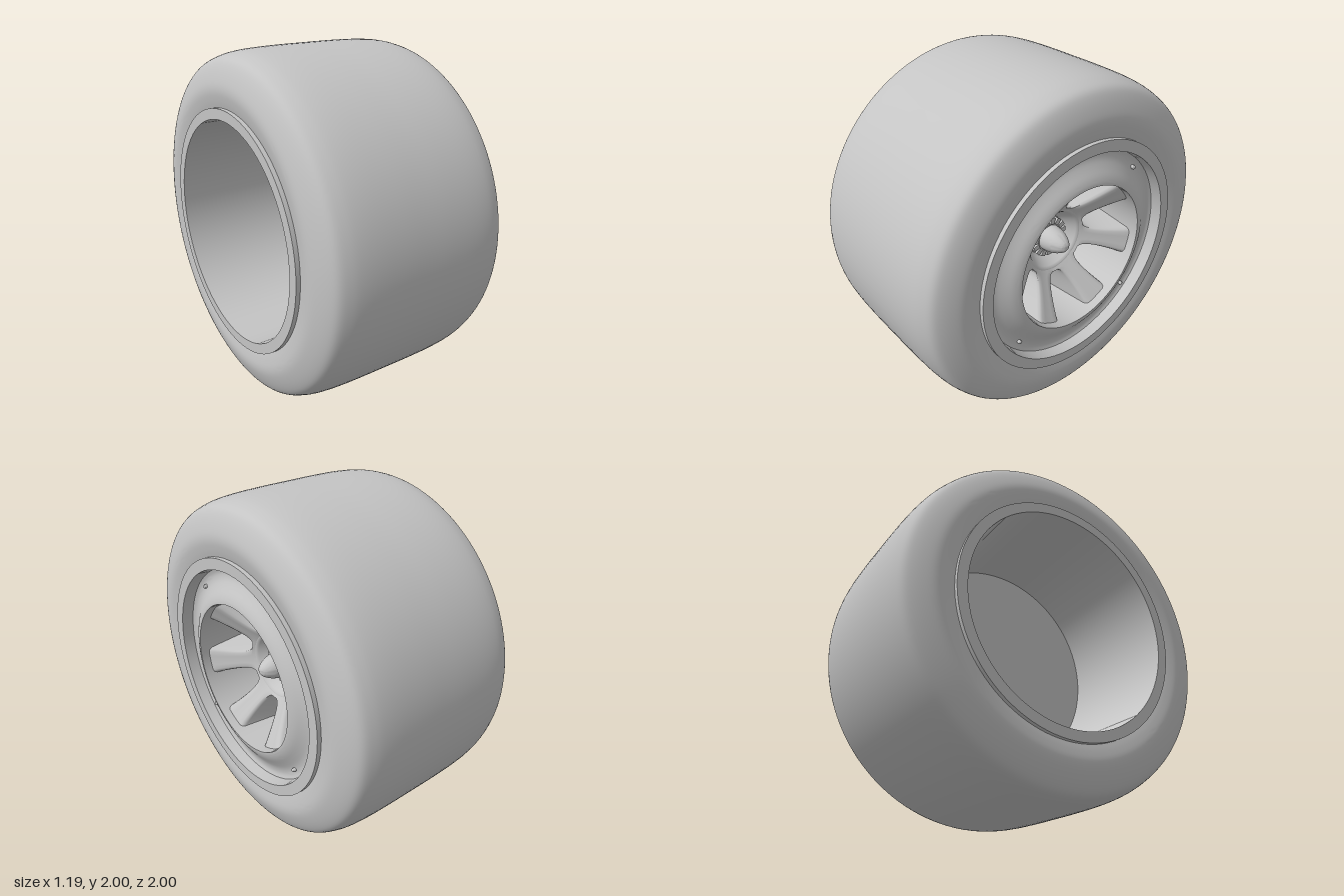
import * as THREE from 'three';
import { toCreasedNormals } from 'three/addons/utils/BufferGeometryUtils.js';

const grey = new THREE.MeshStandardMaterial({ color: 0xc4c4c4 });
grey.name = 'plain grey';

const SPOKES = 7;
const WELL = 0.44; // radius of the spoke well
const FLOOR = 0.17; // depth of the wall behind the spokes

function part(name, geometry, crease = 0.5) {
  const mesh = new THREE.Mesh(toCreasedNormals(geometry, crease), grey);
  mesh.name = name;
  return mesh;
}

// Revolve [radius, x] points around the x axle
function revolve(name, points, segments = 96, crease = 0.5) {
  const geo = new THREE.LatheGeometry(points.map(([r, x]) => new THREE.Vector2(r, x)), segments);
  geo.rotateZ(-Math.PI / 2);
  return part(name, geo, crease);
}

// Smooth a few profile points
function smooth(points, n) {
  const curve = new THREE.SplineCurve(points.map(p => new THREE.Vector2(...p)));
  return curve.getPoints(n).map(p => [p.x, p.y]);
}

// One spoke: cross-sections marching outward, widening into the hub
function spokeGeometry() {
  const rows = 18, pos = [], idx = [];
  const half = Math.PI / SPOKES;
  let cols = 0;
  for (let i = 0; i <= rows; i++) {
    const u = i === 0 ? 0 : ((i - 1) / (rows - 1)) ** 2;
    const r = i === 0 ? 0.19 : 0.21 + (WELL - 0.21) * u;
    const gap = 0.112 * Math.pow(u, 0.45);
    const front = half - Math.asin(gap / r);
    const back = half - Math.asin(Math.max(gap - 0.03, 0) / r);
    const x = 0.35 + 0.18 * (r - 0.19) / 0.25;
    const bevel = 0.025 * Math.min(1, gap / 0.05);
    const section = [[-back, FLOOR], [-front, x - bevel], [-front * 0.9, x - bevel * 0.3]];
    for (let k = -2; k <= 2; k++) section.push([front * k * 0.36, x]);
    section.push([front * 0.9, x - bevel * 0.3], [front, x - bevel], [back, FLOOR]);
    cols = section.length;
    for (const [a, sx] of section) pos.push(sx, r * Math.cos(a), r * Math.sin(a));
  }
  for (let i = 0; i < rows; i++) {
    for (let j = 0; j < cols - 1; j++) {
      const a = i * cols + j, b = a + cols;
      idx.push(a, b, b + 1, a, b + 1, a + 1);
    }
  }
  const geo = new THREE.BufferGeometry();
  geo.setAttribute('position', new THREE.Float32BufferAttribute(pos, 3));
  geo.setIndex(idx);
  return geo;
}

export function createModel() {
  const wheel = new THREE.Group();
  wheel.name = 'wheel';

  // Tyre: mirrored shoulder profile, dipping in towards the rim
  const shoulder = [[0.70, 0.568], [0.74, 0.578], [0.79, 0.585], [0.84, 0.578], [0.91, 0.552], [0.955, 0.52],
    [0.978, 0.465], [0.99, 0.40], [0.997, 0.30], [1.0, 0.15]];
  const tyre = [...shoulder.map(([r, x]) => [r, -x]), [1, 0], ...shoulder.slice().reverse()];
  wheel.add(revolve('tyre', smooth(tyre, 80), 128, 0.8));

  // Rim front: flange, shallow channel, raised ring and the well behind the spokes
  const ring = smooth([[0.628, 0.525], [0.60, 0.517], [0.565, 0.523], [0.53, 0.541],
    [0.49, 0.566], [0.46, 0.579], [WELL, 0.583]], 20);
  wheel.add(revolve('rimFront', [[0.70, 0.56], [0.70, 0.593], [0.635, 0.593],
    ...ring, [WELL, FLOOR], [0, FLOOR]]));

  // Rim back: closed wall, open barrel and rear flange
  wheel.add(revolve('rimBarrel', [[0, FLOOR - 0.01], [0.638, FLOOR - 0.01], [0.64, -0.593],
    [0.70, -0.593], [0.70, -0.56]]));

  // Spokes
  const spoke = spokeGeometry();
  for (let i = 0; i < SPOKES; i++) {
    const mesh = part('spoke', spoke, 0.8);
    mesh.rotation.x = i * 2 * Math.PI / SPOKES;
    wheel.add(mesh);
  }

  // Hub dish
  wheel.add(revolve('hubDish', [[0.195, 0.353], [0.185, 0.351], [0.175, 0.34], [0.14, 0.275],
    [0.125, 0.262], [0, 0.262]], 64, 0.7));

  // Centre nut with a toothed collar and a rounded cone
  wheel.add(revolve('nutCollar', [[0.115, 0.255], [0.115, 0.27], [0.09, 0.275], [0.085, 0.305], [0, 0.305]], 48));
  const nose = smooth([[0.078, 0.295], [0.076, 0.34], [0.062, 0.39], [0.038, 0.432], [0.017, 0.449], [0, 0.453]], 20);
  wheel.add(revolve('nutCone', nose, 40, 0.8));
  const TEETH = 15;
  for (let i = 0; i < TEETH; i++) {
    const geo = new THREE.BoxGeometry(0.05, 0.038, 0.03);
    geo.translate(0.285, 0.103, 0);
    const tooth = part('nutTooth', geo);
    tooth.rotation.x = (i + 0.5) * 2 * Math.PI / TEETH;
    wheel.add(tooth);
  }

  // Small pins barely rising from the rim channel
  for (let i = 0; i < 4; i++) {
    const geo = new THREE.CapsuleGeometry(0.012, 0.05, 4, 12);
    geo.rotateZ(Math.PI / 2);
    geo.translate(0.505, 0.58, 0);
    const pin = part('rimPin', geo, 0.9);
    pin.rotation.x = Math.PI / 4 + i * Math.PI / 2;
    wheel.add(pin);
  }

  wheel.position.y = 1;
  const model = new THREE.Group();
  model.name = 'racingWheel';
  model.add(wheel);
  return model;
}
